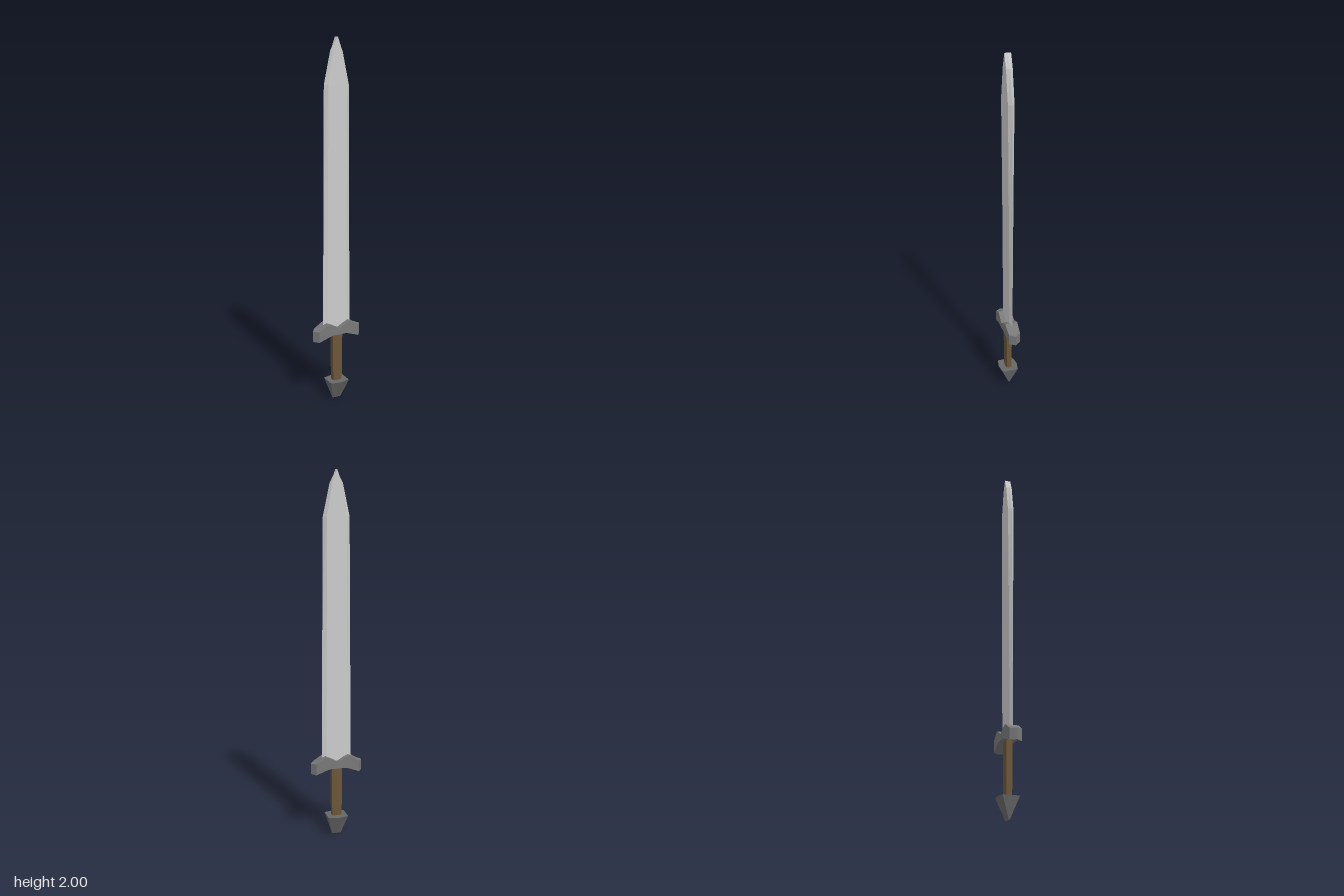
import * as THREE from 'three';

// Skins rings of [x, y, z] points, each ring counter-clockwise seen from the far end
function loft(rings) {
  const pos = [];
  const tri = (a, b, c) => {
    const [p, q, r] = [a, b, c].map((v) => new THREE.Vector3(...v));
    if (q.clone().sub(p).cross(r.clone().sub(p)).length() > 1e-9) pos.push(...a, ...b, ...c);
  };
  const n = rings[0].length;
  for (let k = 0; k < rings.length - 1; k++) {
    const a = rings[k], b = rings[k + 1];
    for (let i = 0; i < n; i++) {
      const j = (i + 1) % n;
      tri(a[i], a[j], b[j]);
      tri(a[i], b[j], b[i]);
    }
  }
  const first = rings[0], last = rings[rings.length - 1];
  for (let i = 1; i < n - 1; i++) {
    tri(first[0], first[i + 1], first[i]);
    tri(last[0], last[i], last[i + 1]);
  }
  const geo = new THREE.BufferGeometry();
  geo.setAttribute('position', new THREE.Float32BufferAttribute(pos, 3));
  geo.computeVertexNormals();
  return geo;
}

// Six-sided blade section: sharp edges at +-w, flat faces of half width f at depth t
const bladeRing = ([y, w, f, t]) => [
  [-f, y, t], [f, y, t], [w, y, 0], [f, y, -t], [-f, y, -t], [-w, y, 0],
];

// Six-sided section with a ridge (depth d) at front and back and straight sides (+-w, +-s)
const ridgeRing = ([y, w, s, d]) => [
  [0, y, d], [w, y, s], [w, y, -s], [0, y, -d], [-w, y, -s], [-w, y, s],
];

// Rectangular guard section across x
const guardRing = ([x, lo, hi, zLo, zHi]) => [
  [x, hi, -zHi], [x, hi, zHi], [x, lo, zLo], [x, lo, -zLo],
];

export function createModel() {
  const sword = new THREE.Group();
  sword.name = 'sword';
  const add = (name, rings, color) => {
    const material = new THREE.MeshStandardMaterial({ color, flatShading: true });
    const mesh = new THREE.Mesh(loft(rings), material);
    mesh.name = name;
    sword.add(mesh);
  };

  // Blade: y, edge half width, flat half width, half thickness
  add('blade', [
    [0.42, 0.083, 0.058, 0.009],
    [0.78, 0.081, 0.057, 0.011],
    [1.26, 0.077, 0.056, 0.013],
    [1.76, 0.073, 0.055, 0.017],
    [1.93, 0.036, 0.025, 0.017],
    [2.0, 0, 0, 0.017],
  ].map(bladeRing), 0xcccccc);

  // Guard: x, bottom, top, half depth at bottom and top, mirrored about the middle
  const half = [
    [0.146, 0.365, 0.425, 0, 0],
    [0.123, 0.365, 0.428, 0.032, 0.033],
    [0.065, 0.388, 0.463, 0.037, 0.036],
    [0.04, 0.395, 0.452, 0.038, 0.037],
  ];
  const guard = [
    ...half.map(([x, ...r]) => [-x, ...r]),
    [0, 0.395, 0.43, 0.04, 0.04],
    ...[...half].reverse(),
  ];
  add('guard', guard.map(guardRing), 0x787878);

  // Grip: y, half width, side half depth, ridge depth
  add('grip', [
    [0.1, 0.026, 0.014, 0.017],
    [0.21, 0.029, 0.015, 0.018],
    [0.41, 0.029, 0.016, 0.019],
  ].map(ridgeRing), 0x6b5738);

  // Pommel: wide hexagon narrowing to a short edge at the bottom
  add('pommel', [
    [0, 0.025, 0.003, 0.004],
    [0.112, 0.056, 0.045, 0.056],
  ].map(ridgeRing), 0x686868);

  return sword;
}
